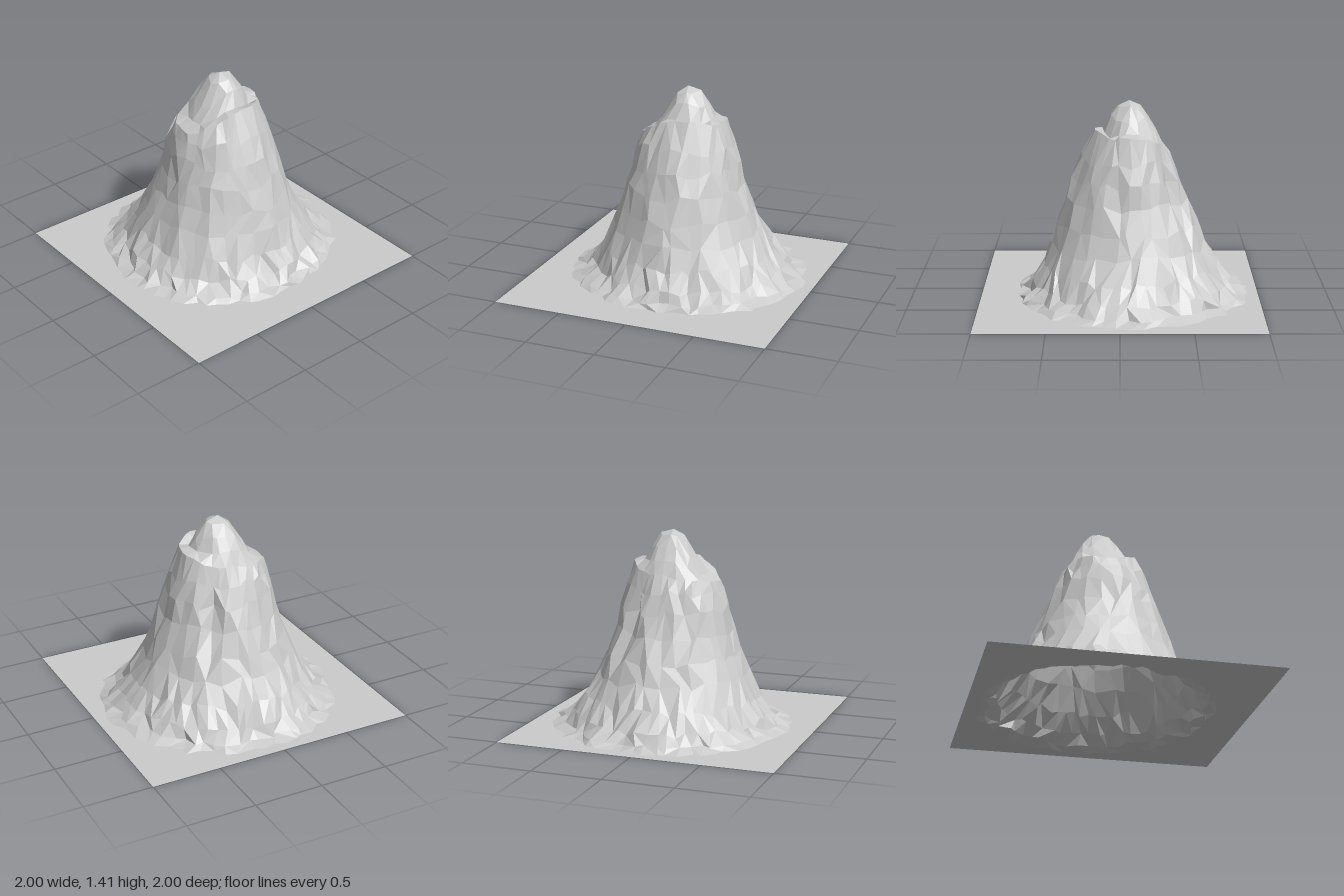
import * as THREE from 'three';

const SEGMENTS = 64;
const CENTRE = { x: 0.035, z: -0.065 };

// Contours from foot to dome: radius and height toward +x, -z, -x, +z,
// and how many columns share one vertex.
const CONTOURS = [
  { r: [0.87, 0.86, 0.85, 0.81], y: [0, 0, 0, 0], step: 1, rough: 0.03 },
  { r: [0.79, 0.79, 0.77, 0.75], y: [0.03, 0.03, 0.03, 0.03], step: 1, rough: 0.04 },
  { r: [0.72, 0.73, 0.70, 0.68], y: [0.1, 0.1, 0.1, 0.1], step: 1, rough: 0.02 },
  { r: [0.64, 0.64, 0.62, 0.615], y: [0.22, 0.22, 0.22, 0.22], step: 1, rough: 0.015 },
  { r: [0.54, 0.55, 0.54, 0.56], y: [0.38, 0.38, 0.38, 0.38], step: 2, rough: 0.012 },
  { r: [0.475, 0.485, 0.475, 0.515], y: [0.53, 0.53, 0.53, 0.53], step: 2, rough: 0.012 },
  { r: [0.41, 0.42, 0.425, 0.465], y: [0.7, 0.7, 0.7, 0.7], step: 2, rough: 0.012, gully: 0.05 },
  { r: [0.375, 0.36, 0.39, 0.41], y: [0.86, 0.86, 0.86, 0.86], step: 2, rough: 0.012, gully: 0.07 },
  { r: [0.34, 0.30, 0.36, 0.345], y: [1.0, 1.0, 0.98, 1.02], step: 2, rough: 0.01, gully: 0.04 },
  { r: [0.28, 0.235, 0.335, 0.245], y: [1.18, 1.11, 1.06, 1.21], step: 2, rough: 0.01 },
  { r: [0.21, 0.19, 0.25, 0.19], y: [1.21, 1.21, 1.1, 1.23], step: 4, rough: 0.008, ledge: 0.05 },
  { r: [0.165, 0.135, 0.18, 0.125], y: [1.27, 1.31, 1.19, 1.31], step: 4, rough: 0.006 },
  { r: [0.09, 0.08, 0.09, 0.08], y: [1.375, 1.37, 1.36, 1.37], step: 8, rough: 0.004 },
];

// Repeatable noise in -1..1
function noise(a, b, c) {
  const s = Math.sin(a * 127.1 + b * 311.7 + c * 74.7) * 43758.5453;
  return (s - Math.floor(s)) * 2 - 1;
}

// Smooth blend of four values around the compass
function around(values, angle) {
  const t = ((angle / (Math.PI / 2)) % 4 + 4) % 4;
  const i = Math.floor(t);
  const f = t - i;
  return THREE.MathUtils.lerp(values[i], values[(i + 1) % 4], f * f * (3 - 2 * f));
}

// Bell-shaped weight about a direction in degrees
function near(angle, degrees, width) {
  const d = THREE.MathUtils.euclideanModulo(THREE.MathUtils.radToDeg(angle) - degrees + 180, 360) - 180;
  return Math.exp(-(d * d) / (width * width));
}

function contourPoint(row, column) {
  const c = CONTOURS[row];
  const i = (Math.round(column / c.step) * c.step) % SEGMENTS;
  const pitch = (Math.PI * 2) / SEGMENTS;
  const angle = (i + noise(row, i, 1) * 0.32 * c.step) * pitch;
  const gully = (c.gully || 0) * (near(angle, 55, 10) + 0.5 * near(angle, 28, 7));
  const r = around(c.r, angle) + noise(row, i, 2) * c.rough - gully;
  let y = around(c.y, angle);
  if (row > 0) y += noise(row, i, 3) * Math.min(0.03, y * 0.25) * (row > 8 ? 0.4 : 1);
  y -= (c.ledge || 0) * near(angle, 310, 40);
  return { key: `${row}:${i}`, p: [CENTRE.x + r * Math.cos(angle), Math.max(0, y), CENTRE.z - r * Math.sin(angle)] };
}

// Edge of the square ground sheet, corners included
function borderPoint(column) {
  const i = column % SEGMENTS;
  const a = (i / SEGMENTS) * Math.PI * 2;
  const k = 1 / Math.max(Math.abs(Math.cos(a)), Math.abs(Math.sin(a)));
  return { key: `border:${i}`, p: [k * Math.cos(a), 0, -k * Math.sin(a)] };
}

// Joins rings of points, dropping collapsed triangles
function sheet(rings) {
  const positions = [];
  const triangle = (a, b, c) => {
    if (a.key === b.key || b.key === c.key || a.key === c.key) return;
    positions.push(...a.p, ...b.p, ...c.p);
  };
  for (let r = 0; r < rings.length - 1; r++) {
    for (let i = 0; i < SEGMENTS; i++) {
      const a = rings[r](i), b = rings[r](i + 1);
      const c = rings[r + 1](i), d = rings[r + 1](i + 1);
      if (noise(r, i, 9) > 0) {
        triangle(a, b, d);
        triangle(a, d, c);
      } else {
        triangle(a, b, c);
        triangle(b, d, c);
      }
    }
  }
  const geometry = new THREE.BufferGeometry();
  geometry.setAttribute('position', new THREE.Float32BufferAttribute(positions, 3));
  geometry.computeVertexNormals();
  return geometry;
}

export function createModel() {
  const model = new THREE.Group();
  model.name = 'mountainTerrain';
  const material = new THREE.MeshStandardMaterial({ color: 0xcccccc, flatShading: true, side: THREE.DoubleSide });
  const add = (name, rings) => {
    const mesh = new THREE.Mesh(sheet(rings), material);
    mesh.name = name;
    model.add(mesh);
  };

  // Flat square around the foot
  add('ground', [borderPoint, (i) => contourPoint(0, i)]);

  // Hollow mountain shell, closed at the peak
  const rings = CONTOURS.map((_, row) => (i) => contourPoint(row, i));
  rings.push(() => ({ key: 'peak', p: [CENTRE.x, 1.41, CENTRE.z] }));
  add('mountain', rings);

  return model;
}
